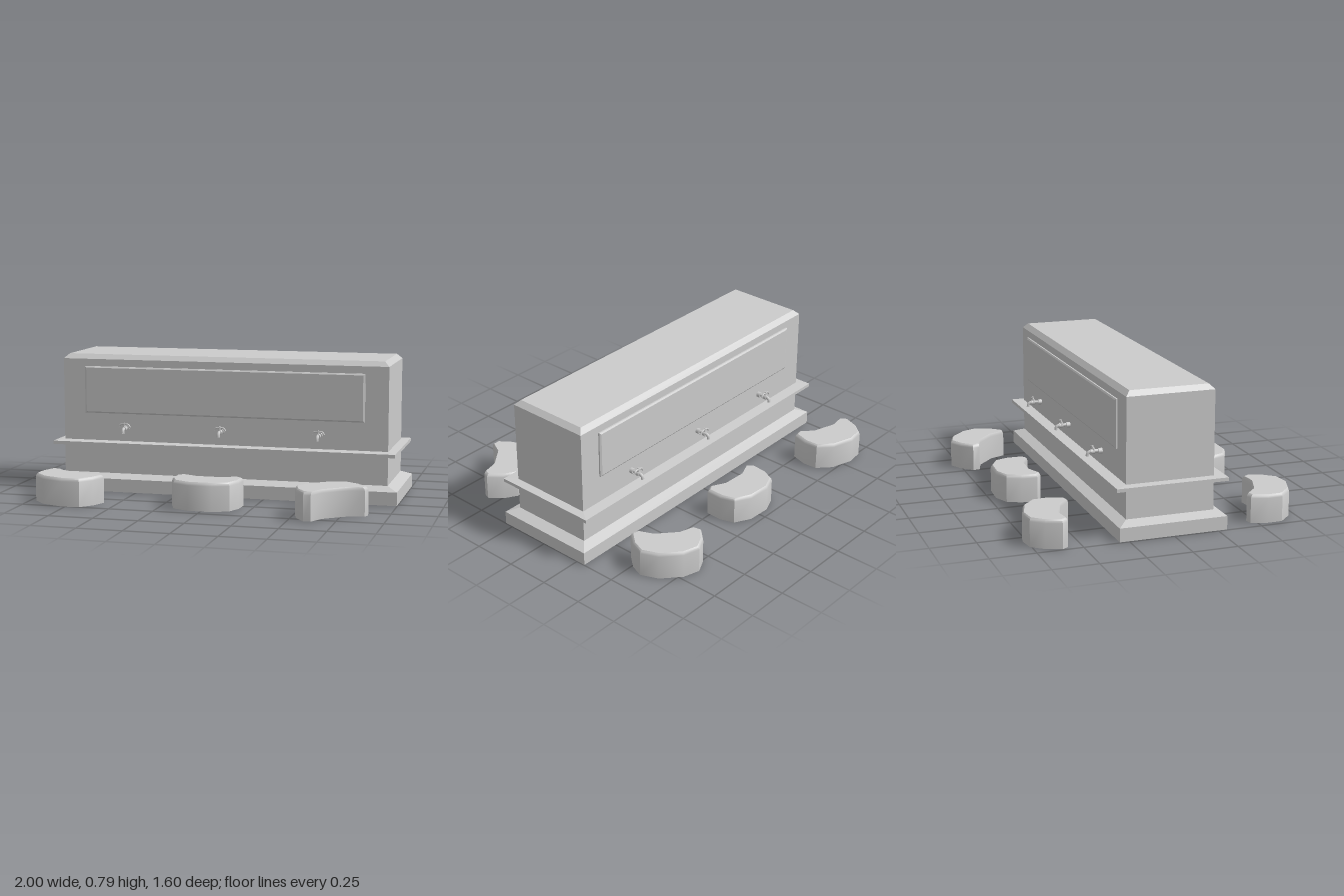
import * as THREE from 'three';
import { toCreasedNormals } from 'three/addons/utils/BufferGeometryUtils.js';

const material = new THREE.MeshStandardMaterial({ color: 0xcccccc, side: THREE.DoubleSide });

// Stacks scaled copies of an (x, z) outline at levels [y, scaleX, scaleZ], capped on top, open below.
function loft(outline, levels, crease) {
  const n = outline.length, positions = [], index = [];
  for (const [y, sx, sz] of levels)
    for (const [x, z] of outline) positions.push(x * sx, y, z * sz);
  for (let l = 0; l < levels.length - 1; l++)
    for (let i = 0; i < n; i++) {
      const a = l * n + i, b = l * n + (i + 1) % n;
      index.push(a, b, b + n, a, b + n, a + n);
    }
  const top = (levels.length - 1) * n;
  const flat = outline.map(([x, z]) => new THREE.Vector2(x, -z));
  for (const f of THREE.ShapeUtils.triangulateShape(flat, [])) index.push(...f.map(i => i + top));
  const g = new THREE.BufferGeometry();
  g.setAttribute('position', new THREE.Float32BufferAttribute(positions, 3));
  g.setIndex(index);
  return toCreasedNormals(g, crease);
}

function add(parent, name, geometry, x = 0, y = 0, z = 0) {
  const mesh = new THREE.Mesh(geometry, material);
  mesh.name = name;
  mesh.position.set(x, y, z);
  parent.add(mesh);
  return mesh;
}

const RECT = [[-1, 1], [1, 1], [1, -1], [-1, -1]];

// Kidney outline, bulging towards +z
const KIDNEY = [
  [-0.19, -0.005], [-0.16, 0.072], [-0.067, 0.117], [0.067, 0.117], [0.155, 0.075], [0.187, -0.005],
  [0.19, -0.095], [0.158, -0.12], [0.075, -0.08], [-0.075, -0.08], [-0.16, -0.12], [-0.192, -0.1],
];

function createTap() {
  const tap = new THREE.Group();
  tap.name = 'tap';
  // Wall collar and valve collar around the pipe
  for (const [r, len, z] of [[0.016, 0.025, 0.255], [0.014, 0.022, 0.3]])
    add(tap, 'collar', new THREE.CylinderGeometry(r, r, len, 12), 0, 0.37, z).rotation.x = Math.PI / 2;
  // Bent spout
  const spout = new THREE.CatmullRomCurve3([
    [0.37, 0.235], [0.372, 0.28], [0.372, 0.312], [0.364, 0.326], [0.346, 0.33],
  ].map(([y, z]) => new THREE.Vector3(0, y, z)));
  add(tap, 'spout', new THREE.TubeGeometry(spout, 14, 0.009, 8));
  // Valve stem with a drooping two-armed handle
  add(tap, 'stem', new THREE.CylinderGeometry(0.005, 0.006, 0.036, 8), 0, 0.388, 0.3);
  const arms = new THREE.CatmullRomCurve3([
    [-0.034, 0.378], [-0.024, 0.393], [0, 0.397], [0.024, 0.393], [0.034, 0.378],
  ].map(([x, y]) => new THREE.Vector3(x, y, 0.3)));
  add(tap, 'handle', new THREE.TubeGeometry(arms, 14, 0.005, 6));
  return tap;
}

export function createModel() {
  const model = new THREE.Group();
  model.name = 'drinkingStation';

  // Hollow shell: plinth, lower wall, ledge, upper wall, chamfered top
  add(model, 'cabinet', loft(RECT, [
    [0.003, 1, 0.302], [0.078, 1, 0.302], [0.102, 0.94, 0.246],
    [0.264, 0.94, 0.246], [0.268, 0.988, 0.312], [0.287, 0.988, 0.312], [0.291, 0.94, 0.246],
    [0.758, 0.94, 0.246], [0.785, 0.912, 0.22],
  ], 0.1), 0, 0, -0.003);

  // Raised panel and three taps on each long side
  for (const turn of [0, Math.PI]) {
    const side = new THREE.Group();
    side.name = turn ? 'backFittings' : 'frontFittings';
    side.rotation.y = turn;
    const panel = loft(RECT, [[0.24, 0.81, 0.134], [0.254, 0.81, 0.134], [0.26, 0.8, 0.126]], 0.1);
    add(side, 'panel', panel, 0, 0.583, 0).rotation.x = Math.PI / 2;
    for (const x of [-0.56, 0, 0.56]) {
      const tap = createTap();
      tap.position.x = x;
      side.add(tap);
    }
    side.position.z = -0.003;
    model.add(side);
  }

  // Six kidney stools: x, z, turn in degrees
  const stool = loft(KIDNEY, [[0, 1, 1], [0.138, 1, 1], [0.15, 0.975, 0.965], [0.157, 0.93, 0.91]], 0.6);
  for (const [x, z, turn] of [
    [-0.79, 0.623, -20], [-0.005, 0.575, 0], [0.675, 0.605, 218],
    [-0.78, -0.64, 162], [-0.005, -0.59, 177], [0.7, -0.64, 138],
  ]) add(model, 'stool', stool, x, 0, z).rotation.y = THREE.MathUtils.degToRad(turn);

  return model;
}
